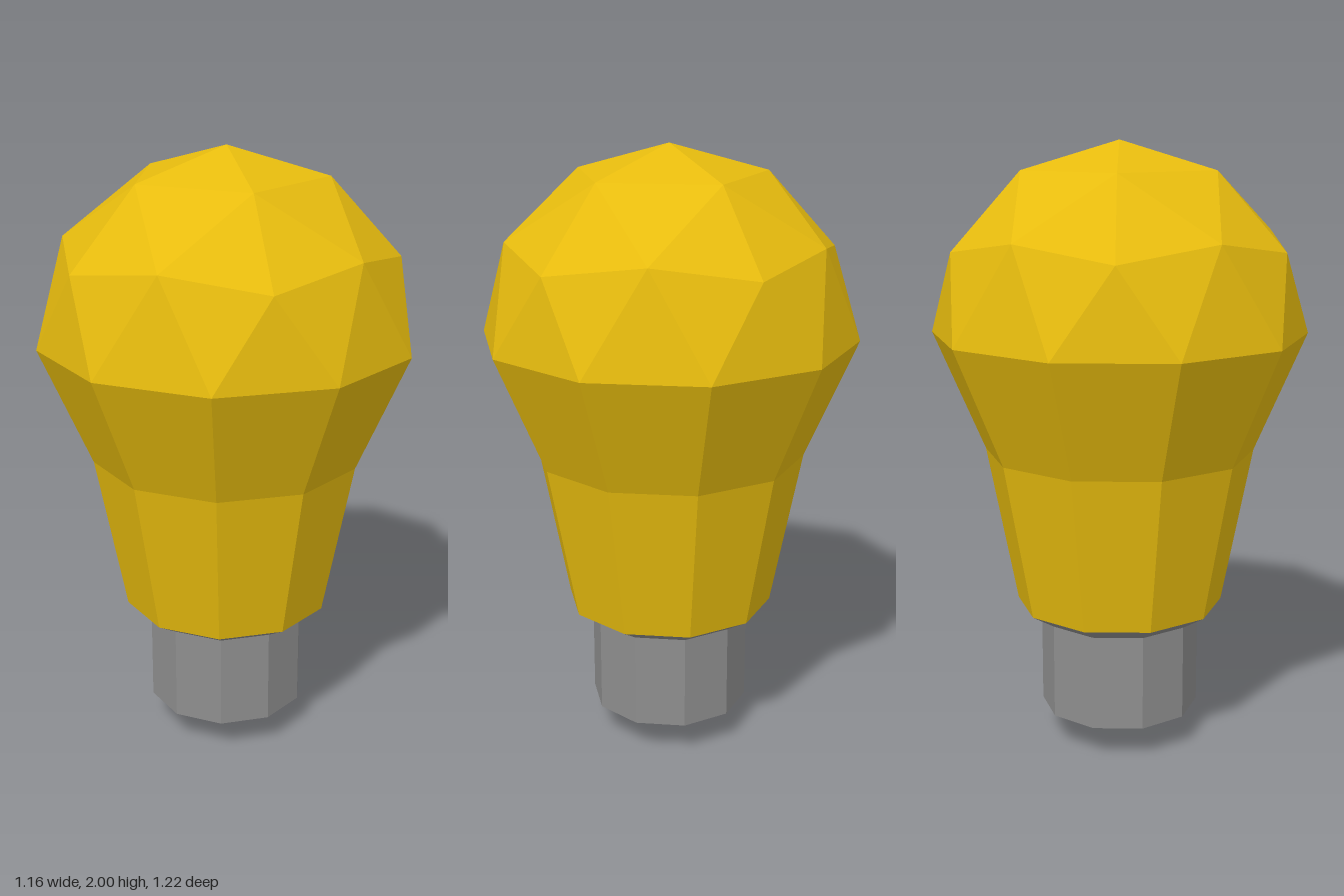
import * as THREE from 'three';

const SIDES = 10;
const RADIUS = 0.61;    // widest ring of the bulb
const CENTRE_Y = 1.389; // height of the widest ring

// Faceted ring-shaped part from a bottom-to-top [radius, y] profile
function turned(name, profile, material) {
  const points = profile.map(([r, y]) => new THREE.Vector2(r, y));
  const geometry = new THREE.LatheGeometry(points, SIDES).toNonIndexed();
  geometry.computeVertexNormals();
  const mesh = new THREE.Mesh(geometry, material);
  mesh.name = name;
  return mesh;
}

// Upper half of a once-subdivided icosahedron standing on one vertex
function domeGeometry() {
  const point = (degrees, r, h) => {
    const a = THREE.MathUtils.degToRad(degrees);
    return [RADIUS * r * Math.cos(a), CENTRE_Y + RADIUS * h, RADIUS * r * Math.sin(a)];
  };
  const top = point(0, 0, 1);
  const inner = (d) => point(d, 0.5257, 0.8507);  // ring below the top
  const corner = (d) => point(d, 0.8944, 0.4472); // icosahedron corners
  const middle = (d) => point(d, 0.8507, 0.5257); // midpoints between corners
  const rim = (d) => point(d, 1, 0);              // widest ring

  const positions = [];
  const face = (a, b, c) => positions.push(...a, ...b, ...c);
  for (let k = 0; k < 5; k++) {
    const d = 72 * k;
    const r0 = inner(d), r1 = inner(d + 72);
    const v0 = corner(d), v1 = corner(d + 72), m = middle(d + 36);
    const e0 = rim(d - 18), e1 = rim(d + 18), e2 = rim(d + 54);
    face(top, r1, r0);
    face(r0, m, v0);
    face(r0, r1, m);
    face(r1, v1, m);
    face(v0, e1, e0);
    face(v0, m, e1);
    face(m, e2, e1);
    face(m, v1, e2);
  }
  const geometry = new THREE.BufferGeometry();
  geometry.setAttribute('position', new THREE.Float32BufferAttribute(positions, 3));
  geometry.computeVertexNormals();
  return geometry;
}

export function createModel() {
  const yellow = new THREE.MeshStandardMaterial({ color: 0xf1c40f, flatShading: true });
  yellow.name = 'bulb yellow';
  const grey = new THREE.MeshStandardMaterial({ color: 0x8e8e8e, flatShading: true });
  grey.name = 'metal grey';

  const model = new THREE.Group();
  model.name = 'lightBulb';

  // Glass: rounded dome, shoulder and tapering neck
  const dome = new THREE.Mesh(domeGeometry(), yellow);
  dome.name = 'bulbDome';
  model.add(dome);
  model.add(turned('bulbShoulder', [[0.443, 1.0], [RADIUS, CENTRE_Y]], yellow));
  model.add(turned('bulbNeck', [[0.343, 0.479], [0.443, 1.0]], yellow));

  // Metal: sloping collar, socket and pointed contact
  model.add(turned('collar', [[0.264, 0.431], [0.343, 0.479]], grey));
  model.add(turned('socket', [[0.264, 0.114], [0.264, 0.431]], grey));
  model.add(turned('contactTip', [[0, 0], [0.264, 0.114]], grey));

  return model;
}
